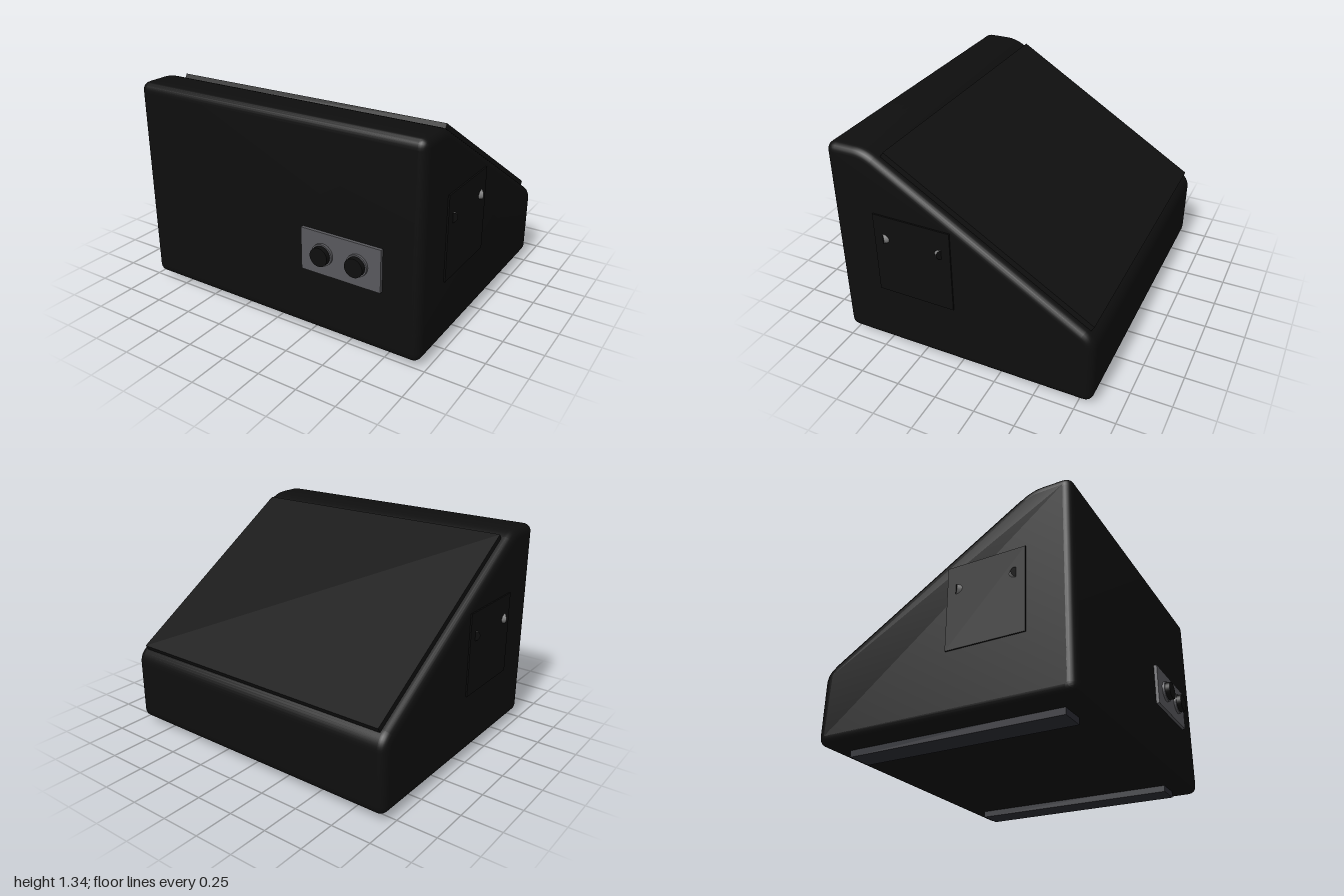
import * as THREE from 'three';
import { toCreasedNormals } from 'three/addons/utils/BufferGeometryUtils.js';

const mat = (name, color) => {
  const m = new THREE.MeshStandardMaterial({ color });
  m.name = name;
  return m;
};

// Closed outline with every corner rounded: points are [x, y, cut length]
function roundedShape(points) {
  const shape = new THREE.Shape();
  const n = points.length;
  points.forEach(([x, y, r], i) => {
    const c = new THREE.Vector2(x, y);
    const toward = ([px, py]) => new THREE.Vector2(px, py).sub(c).setLength(r).add(c);
    const a = toward(points[(i + n - 1) % n]);
    const b = toward(points[(i + 1) % n]);
    if (i === 0) shape.moveTo(a.x, a.y);
    else shape.lineTo(a.x, a.y);
    shape.quadraticCurveTo(c.x, c.y, b.x, b.y);
  });
  shape.closePath();
  return shape;
}

export function createModel() {
  const model = new THREE.Group();
  model.name = 'slopedCabinet';

  const black = mat('cabinet black', 0x0e0e0e);
  const panelBlack = mat('panel black', 0x101010);
  const grey = mat('plate grey', 0x58585c);
  const rubber = mat('rubber grey', 0x2a2b32);
  const steel = mat('pin steel', 0x808080);

  const add = (name, geometry, material, x = 0, y = 0, z = 0) => {
    const mesh = new THREE.Mesh(geometry, material);
    mesh.name = name;
    mesh.position.set(x, y, z);
    model.add(mesh);
    return mesh;
  };

  // Cabinet: side profile (z, y) extruded across the width with rounded edges
  const profile = roundedShape([
    [0.775, 0.04, 0.06],
    [0.775, 1.335, 0.06],
    [0.53, 1.335, 0.07],
    [-0.84, 0.495, 0.07],
    [-0.84, 0.04, 0.06],
  ]);
  const bevel = 0.05;
  const width = 1.94;
  const body = new THREE.ExtrudeGeometry(profile, {
    depth: width - 2 * bevel, curveSegments: 8,
    bevelEnabled: true, bevelSize: bevel, bevelThickness: bevel, bevelOffset: -bevel, bevelSegments: 6,
  });
  body.translate(0, 0, -(width / 2 - bevel));
  body.rotateY(-Math.PI / 2);
  add('cabinet', toCreasedNormals(body, 0.6), black);

  // Raised panel lying on the rear slope
  const top = new THREE.Vector2(0.455, 1.318);
  const low = new THREE.Vector2(-0.795, 0.552);
  const along = low.clone().sub(top);
  const angle = Math.atan2(along.y, -along.x);
  const thick = 0.04;
  const panel = add('slopePanel', new THREE.BoxGeometry(1.82, thick, along.length()), panelBlack,
    0,
    (top.y + low.y) / 2 - Math.cos(angle) * thick / 2,
    (top.x + low.x) / 2 + Math.sin(angle) * thick / 2);
  panel.rotation.x = angle;

  // Control plate with two knobs on the front
  add('controlPlate', new THREE.BoxGeometry(0.515, 0.26, 0.03), grey, 0.482, 0.56, 0.78);
  for (const x of [0.37, 0.595]) {
    const collar = new THREE.CylinderGeometry(0.066, 0.066, 0.03, 32).rotateX(Math.PI / 2);
    add('knobCollar', collar, grey, x, 0.56, 0.795);
    const knob = new THREE.CylinderGeometry(0.057, 0.057, 0.05, 32).rotateX(Math.PI / 2);
    add('knob', knob, black, x, 0.56, 0.815);
  }

  for (const side of [-1, 1]) {
    // Long rubber foot
    add('foot', new THREE.BoxGeometry(0.16, 0.055, 1.36), rubber, side * 0.74, 0.0275, -0.035);

    // Side plate with two outward-leaning pins
    add('sidePlate', new THREE.BoxGeometry(0.03, 0.52, 0.49), black, side * 0.964, 0.69, 0.255);
    for (const lean of [-1, 1]) {
      const axis = new THREE.Vector3(side, 0, lean).normalize();
      const pin = add('sidePin', new THREE.CylinderGeometry(0.03, 0.03, 0.06, 20),
        [steel, black, black]);
      pin.quaternion.setFromUnitVectors(new THREE.Vector3(0, 1, 0), axis);
      pin.position.set(side * 0.979, 0.8, 0.255 + lean * 0.19).addScaledVector(axis, -0.03);
    }
  }

  return model;
}
